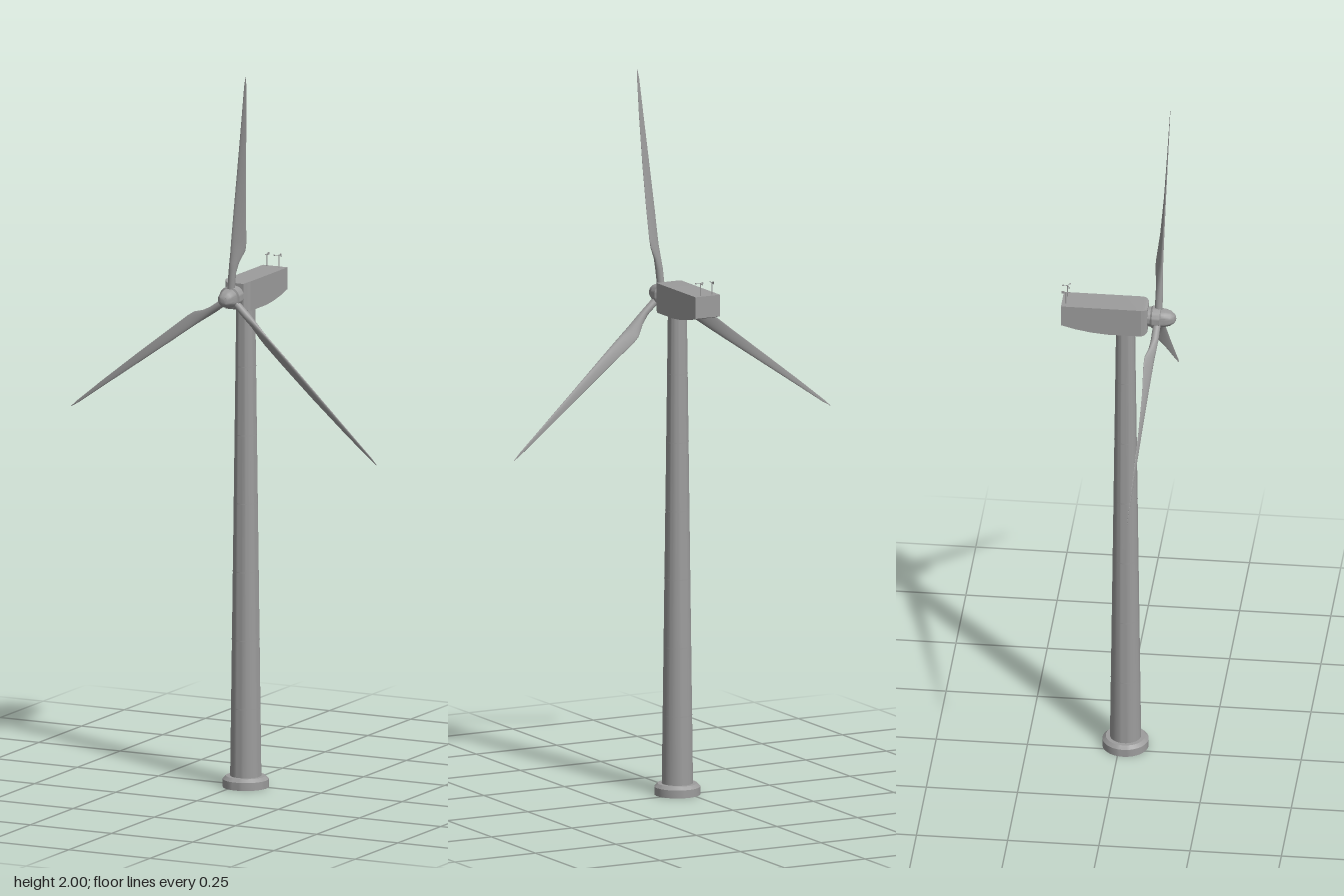
import * as THREE from 'three';
import { toCreasedNormals } from 'three/addons/utils/BufferGeometryUtils.js';

const V = (x, y, z) => new THREE.Vector3(x, y, z);
const CX = 0.027, CZ = 0.016; // tower axis
const HUB = V(CX, 1.376, 0.105);

// Surface of revolution about y, sharp at hard corners
function turned(points, sides = 40) {
  const g = new THREE.LatheGeometry(points.map(p => new THREE.Vector2(p[0], p[1])), sides);
  return toCreasedNormals(g, 0.6);
}

// Blade along +y: trailing edge toward +x, twisted from root to tip
function bladeGeometry() {
  // radius, chord, thickness, twist in degrees, leading offset, sharpness of trailing edge
  const stations = [
    [0.0, 0.021, 0.021, 35, 0.0105, 0],
    [0.07, 0.021, 0.021, 35, 0.0105, 0],
    [0.10, 0.027, 0.019, 35, 0.010, 0.3],
    [0.135, 0.041, 0.015, 34, 0.009, 0.6],
    [0.16, 0.042, 0.013, 32, 0.009, 0.7],
    [0.24, 0.034, 0.010, 23, 0.008, 0.8],
    [0.36, 0.025, 0.007, 14, 0.006, 0.8],
    [0.50, 0.015, 0.004, 8, 0.004, 0.8],
    [0.60, 0.007, 0.002, 4, 0.003, 0.8],
    [0.627, 0.001, 0.0005, 3, 0.0005, 0.8],
  ];
  const n = 20, pos = [], idx = [];
  for (const [r, chord, thick, deg, lead, sharp] of stations) {
    const t = THREE.MathUtils.degToRad(deg);
    for (let j = 0; j < n; j++) {
      const a = (j / n) * Math.PI * 2;
      const u = (1 + Math.cos(a)) / 2;
      const x = -lead + chord * u;
      const z = (thick / 2) * Math.sin(a) * (1 - sharp * u * 0.8);
      pos.push(x * Math.cos(t) + z * Math.sin(t), r, -x * Math.sin(t) + z * Math.cos(t));
    }
  }
  for (let i = 0; i < stations.length - 1; i++) {
    for (let j = 0; j < n; j++) {
      const a = i * n + j, b = i * n + ((j + 1) % n), c = a + n, d = b + n;
      idx.push(a, c, b, b, c, d);
    }
  }
  const g = new THREE.BufferGeometry();
  g.setAttribute('position', new THREE.Float32BufferAttribute(pos, 3));
  g.setIndex(idx);
  g.computeVertexNormals();
  return g;
}

// Box stretched through stations along z: tapered nose and rising belly
function nacelleGeometry() {
  // z, half width, bottom, top
  const st = [
    [-0.157, 0.038, 1.356, 1.416],
    [-0.12, 0.038, 1.346, 1.416],
    [-0.075, 0.038, 1.338, 1.416],
    [-0.03, 0.038, 1.334, 1.416],
    [0.062, 0.038, 1.334, 1.416],
    [0.071, 0.034, 1.336, 1.415],
    [0.078, 0.026, 1.341, 1.411],
  ];
  const g = new THREE.BoxGeometry(1, 1, 1, 1, 1, st.length - 1);
  const p = g.attributes.position;
  for (let i = 0; i < p.count; i++) {
    const [z, w, bottom, top] = st[Math.round((p.getZ(i) + 0.5) * (st.length - 1))];
    p.setXYZ(i, CX + Math.sign(p.getX(i)) * w, p.getY(i) > 0 ? top : bottom, z);
  }
  return toCreasedNormals(g, 0.4);
}

export function createModel() {
  const model = new THREE.Group();
  model.name = 'windTurbine';
  const grey = new THREE.MeshStandardMaterial({ color: 0x9c9c9c });
  grey.name = 'paintedSteelGrey';

  const add = (name, geometry, parent = model, position) => {
    const mesh = new THREE.Mesh(geometry, grey);
    mesh.name = name;
    if (position) mesh.position.copy(position);
    parent.add(mesh);
    return mesh;
  };

  // Foundation and tapered tower
  const axis = V(CX, 0, CZ);
  add('foundation', turned([[0, 0], [0.063, 0], [0.063, 0.022], [0.054, 0.031], [0, 0.031]]), model, axis);
  const towerRadius = y => 0.043 - (0.017 * y) / 1.337;
  add('tower', turned([[towerRadius(0.03), 0.03], [towerRadius(1.34), 1.34]]), model, axis);

  // Slim joints between tower sections
  for (let i = 1; i <= 6; i++) {
    const y = 0.031 + i * 0.19;
    add('towerJoint', new THREE.CylinderGeometry(towerRadius(y) + 0.0005, towerRadius(y) + 0.0005, 0.003, 40, 1, true),
      model, V(CX, y, CZ));
  }

  // Machine housing
  add('nacelle', nacelleGeometry());

  // Hub and nose cone
  const hub = turned([[0, -0.034], [0.027, -0.034], [0.027, -0.02], [0.031, -0.015], [0.031, 0.006],
    [0.026, 0.008], [0.025, 0.02], [0.021, 0.034], [0.013, 0.045], [0.006, 0.049], [0, 0.05]], 32);
  hub.rotateX(Math.PI / 2 + 0.04);
  add('hub', hub, model, HUB);

  // Three blades aimed at their tips
  const blade = bladeGeometry();
  const normal = V(-0.031, -0.04, 1).normalize();
  const tips = [V(0.088, 2.0, 0.132), V(-0.48, 1.02, 0.075), V(0.482, 0.953, 0.113)];
  for (const tip of tips) {
    const along = tip.clone().sub(HUB);
    const scale = along.length() / 0.627;
    along.normalize();
    const trail = along.clone().cross(normal).normalize();
    const face = trail.clone().cross(along);
    const mesh = add('blade', blade, model, HUB);
    mesh.quaternion.setFromRotationMatrix(new THREE.Matrix4().makeBasis(trail, along, face));
    mesh.scale.setScalar(scale);
  }

  // Weather instruments on the roof
  const mast = () => new THREE.CylinderGeometry(0.0014, 0.0014, 0.036, 8);
  const vane = new THREE.Group();
  vane.name = 'windVane';
  vane.position.set(0.008, 1.415, -0.145);
  add('vaneMast', mast(), vane, V(0, 0.018, 0));
  add('vaneArm', new THREE.BoxGeometry(0.0015, 0.0015, 0.024), vane, V(0, 0.035, 0));
  add('vaneFin', new THREE.BoxGeometry(0.001, 0.007, 0.008), vane, V(0, 0.035, -0.008));

  const anemometer = new THREE.Group();
  anemometer.name = 'anemometer';
  anemometer.position.set(0.044, 1.415, -0.145);
  add('anemometerMast', mast(), anemometer, V(0, 0.018, 0));
  for (let i = 0; i < 3; i++) {
    const spoke = new THREE.Group();
    spoke.name = 'anemometerSpoke';
    spoke.position.y = 0.035;
    spoke.rotation.y = Math.PI / 2 + (i * Math.PI * 2) / 3;
    add('spokeArm', new THREE.BoxGeometry(0.012, 0.0012, 0.0012), spoke, V(0.006, 0, 0));
    add('spokeCup', new THREE.SphereGeometry(0.0024, 10, 6), spoke, V(0.012, 0, 0));
    anemometer.add(spoke);
  }
  model.add(vane, anemometer);
  return model;
}
